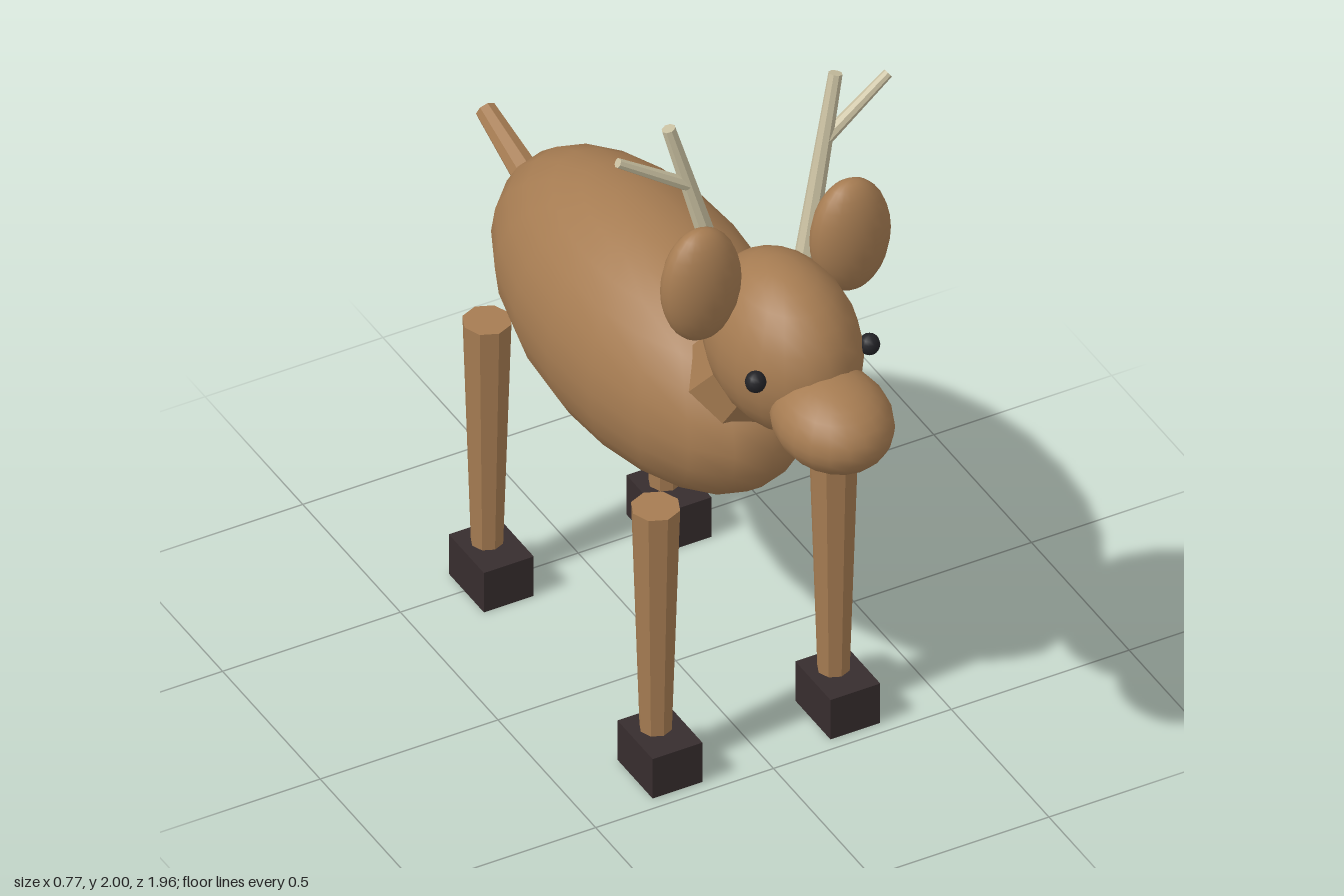
import * as THREE from 'three';

export function createModel() {
  const model = new THREE.Group();
  model.name = 'deer';

  const paint = (name, color, flatShading = false) => {
    const m = new THREE.MeshStandardMaterial({ color, flatShading });
    m.name = name;
    return m;
  };
  const fur = paint('fur brown', 0xa67c52);
  const furFlat = paint('faceted fur brown', 0xa67c52, true);
  const antlerBone = paint('antler bone', 0xc8bfa0, true);
  const hoofDark = paint('hoof dark', 0x372d2e);
  const eyeBlack = paint('eye black', 0x222226);

  const add = (name, geometry, material, x, y, z) => {
    const mesh = new THREE.Mesh(geometry, material);
    mesh.name = name;
    mesh.position.set(x, y, z);
    model.add(mesh);
    return mesh;
  };

  // Smooth ellipsoid with the given half sizes
  const ellipsoid = (name, material, [x, y, z], [rx, ry, rz], w = 20, h = 14) =>
    add(name, new THREE.SphereGeometry(1, w, h).scale(rx, ry, rz), material, x, y, z);

  // Tapered faceted rod running from point a to point b
  const up = new THREE.Vector3(0, 1, 0);
  const rod = (name, material, a, b, ra, rb, sides = 8) => {
    const from = new THREE.Vector3(...a);
    const to = new THREE.Vector3(...b);
    const dir = to.clone().sub(from);
    const mid = from.clone().add(to).multiplyScalar(0.5);
    const mesh = add(name, new THREE.CylinderGeometry(rb, ra, dir.length(), sides), material, mid.x, mid.y, mid.z);
    mesh.quaternion.setFromUnitVectors(up, dir.normalize());
    return mesh;
  };

  // Body, neck, head and tail
  ellipsoid('body', fur, [0, 0.975, -0.125], [0.295, 0.333, 0.625]);
  rod('neck', furFlat, [0, 1.055, 0.29], [0, 1.285, 0.48], 0.165, 0.11);
  ellipsoid('head', fur, [0, 1.36, 0.547], [0.182, 0.23, 0.255]);
  ellipsoid('muzzle', fur, [0, 1.287, 0.8], [0.147, 0.119, 0.182]);
  rod('tail', furFlat, [0, 0.975, -0.69], [0, 1.057, -0.972], 0.042, 0.028);

  for (const [side, s] of [['left', 1], ['right', -1]]) {
    // Face
    ellipsoid(side + 'Ear', fur, [s * 0.21, 1.586, 0.51], [0.108, 0.166, 0.071]);
    ellipsoid(side + 'Eye', eyeBlack, [s * 0.16, 1.39, 0.7], [0.027, 0.029, 0.027], 12, 8);

    // Antler: main beam and one outward tine
    rod(side + 'AntlerBeam', antlerBone, [s * 0.11, 1.5, 0.455], [s * 0.235, 1.995, 0.39], 0.027, 0.018);
    rod(side + 'AntlerTine', antlerBone, [s * 0.195, 1.825, 0.415], [s * 0.38, 1.945, 0.395], 0.018, 0.013);

    // Legs with boxy hooves set slightly forward
    for (const [end, z] of [['Front', 0.352], ['Back', -0.512]]) {
      rod(side + end + 'Leg', furFlat, [s * 0.25, 0.1, z], [s * 0.25, 0.805, z], 0.041, 0.063);
      add(side + end + 'Hoof', new THREE.BoxGeometry(0.14, 0.122, 0.18), hoofDark, s * 0.25, 0.061, z + 0.022);
    }
  }
  return model;
}
